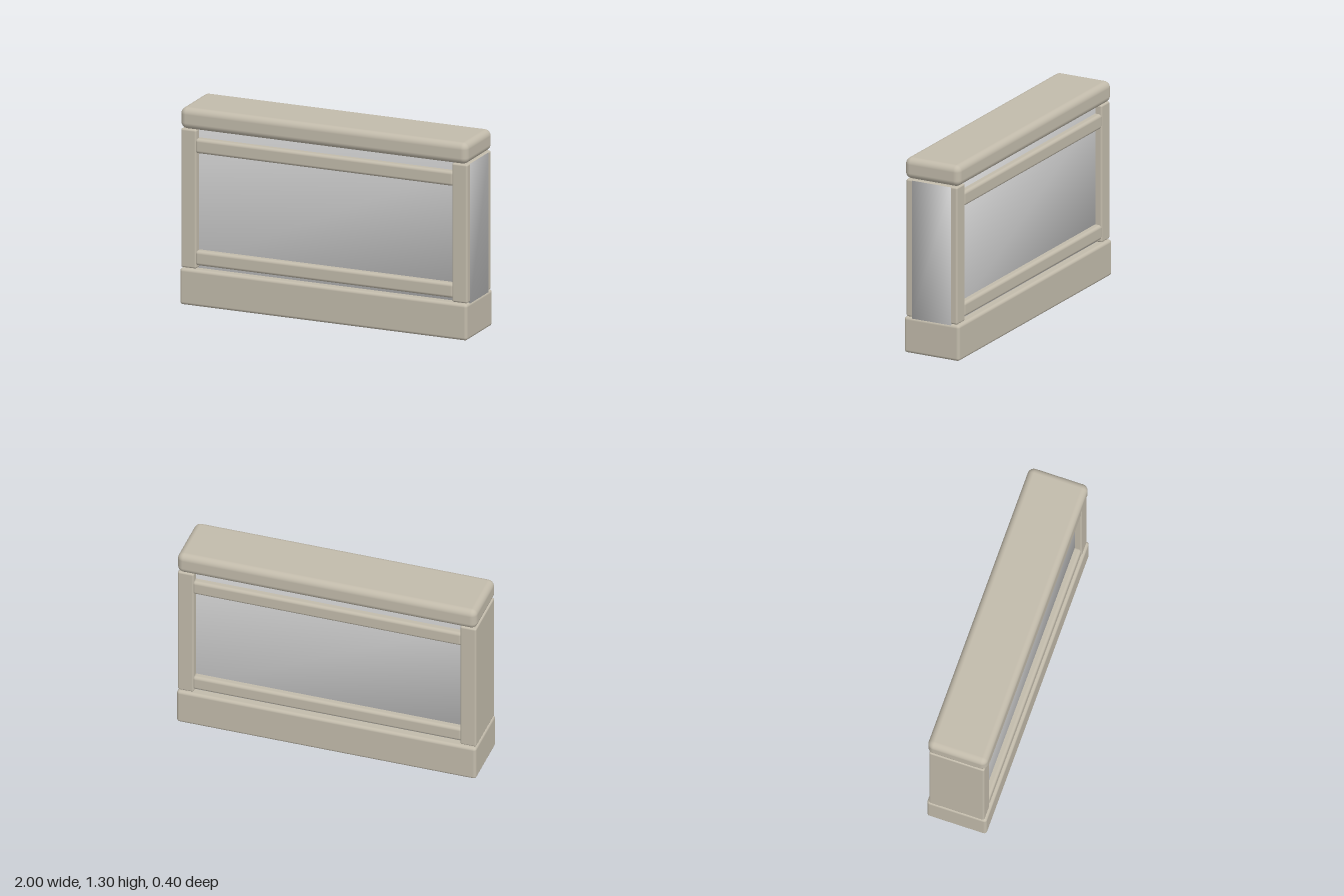
import * as THREE from 'three';
import { RoundedBoxGeometry } from 'three/addons/geometries/RoundedBoxGeometry.js';
import { mergeVertices } from 'three/addons/utils/BufferGeometryUtils.js';

export function createModel() {
  const model = new THREE.Group();
  model.name = 'panelledCounter';
  const frame = new THREE.MeshStandardMaterial({ color: 0xc2bbab });
  const grey = new THREE.MeshStandardMaterial({ color: 0xcccccc });

  // Rounded block given by its extents [min, max] on each axis
  function block(name, [x0, x1], [y0, y1], [z0, z1], radius) {
    const geometry = new RoundedBoxGeometry(x1 - x0, y1 - y0, z1 - z0, 4, radius);
    const mesh = new THREE.Mesh(geometry, frame);
    mesh.name = name;
    mesh.position.set((x0 + x1) / 2, (y0 + y1) / 2, (z0 + z1) / 2);
    model.add(mesh);
  }

  // Plinth and overhanging softly rounded top
  block('base', [-1, 1], [0, 0.24], [-0.2, 0.2], 0.02);
  block('topSlab', [-1, 1], [1.16, 1.3], [-0.2, 0.2], 0.042);

  // Full-depth end posts
  block('leftPost', [0.89, 0.997], [0.243, 1.16], [-0.185, 0.185], 0.012);
  block('rightPost', [-0.997, -0.89], [0.243, 1.16], [-0.185, 0.185], 0.012);

  // Horizontal rails running through the body, proud of the panel on both faces
  block('upperRail', [-0.9, 0.9], [1.005, 1.102], [-0.184, 0.184], 0.02);
  block('lowerRail', [-0.9, 0.9], [0.265, 0.362], [-0.184, 0.184], 0.02);

  // Recessed core, shaded smoothly across its shared corners
  let core = new THREE.BoxGeometry(1.989, 0.92, 0.28);
  core.deleteAttribute('normal');
  core.deleteAttribute('uv');
  core = mergeVertices(core);
  core.computeVertexNormals();
  const panel = new THREE.Mesh(core, grey);
  panel.name = 'infillPanel';
  panel.position.set(0.0045, 0.695, 0);
  model.add(panel);

  return model;
}
